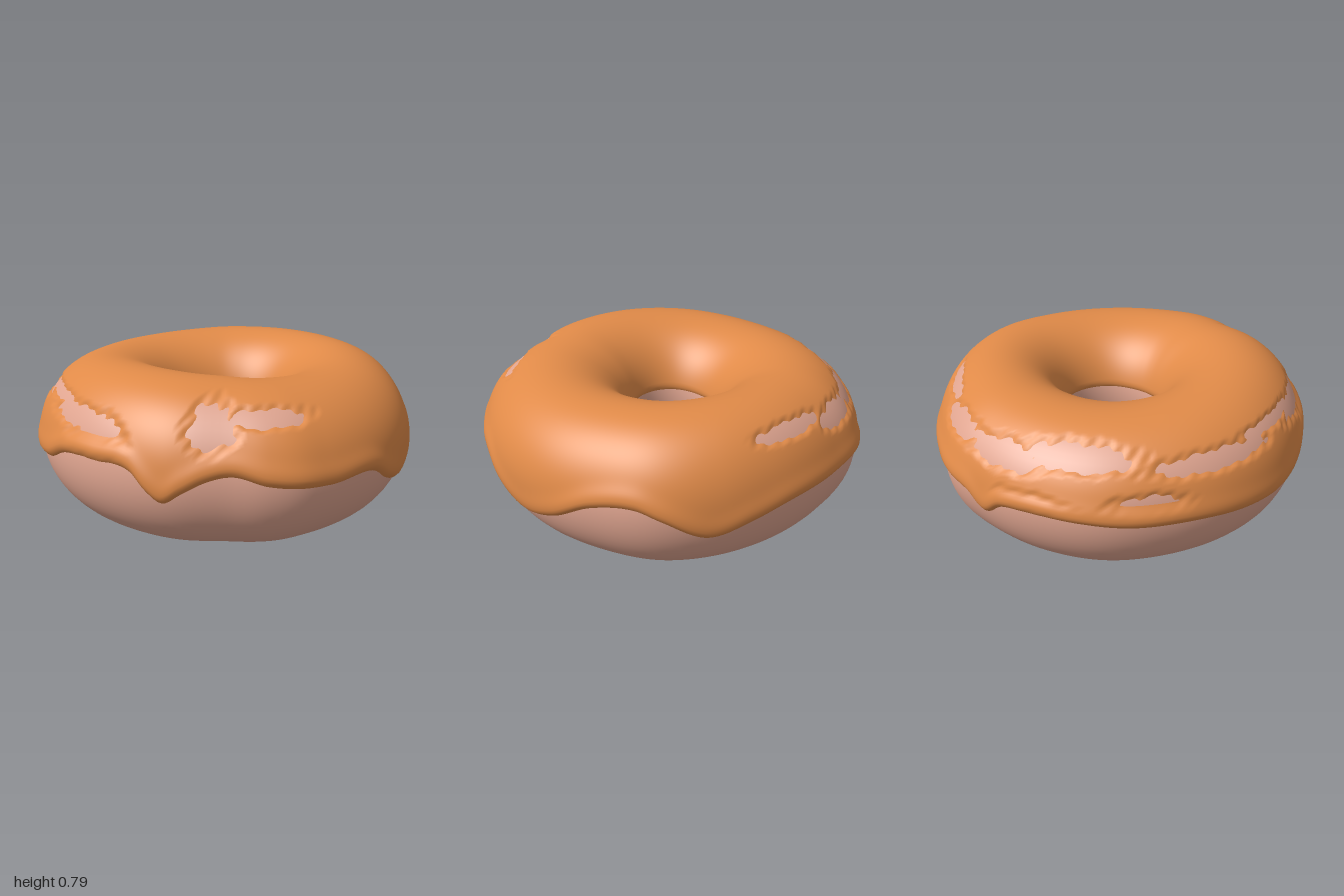
import * as THREE from 'three';

const RAD = Math.PI / 180;

// Smooth closed curve through [degrees, value] keys around the ring
function ringCurve(keys) {
  const all = [-360, 0, 360].flatMap((s) => keys.map(([d, v]) => [d + s, v]));
  const curve = new THREE.CubicInterpolant(all.map((k) => k[0]), all.map((k) => k[1]), 1);
  return (deg) => curve.evaluate(deg)[0];
}

// Outer radius of the uneven ring, 0 degrees is +x and 90 is +z
const outerRadius = ringCurve([
  [0, 1.0], [24, 1.005], [33, 1.013], [41, 1.0], [52, 0.97], [68, 0.982], [90, 0.975], [114, 0.975],
  [129, 0.98], [147, 0.978], [165, 0.982], [184, 1.0], [202, 1.0], [222, 1.002], [234, 1.012],
  [248, 0.99], [273, 0.985], [288, 0.998], [306, 1.012], [324, 0.994], [343, 0.996],
]);

// Height of the icing's dripping lower edge
const dripHeight = ringCurve([
  [0, 0.28], [8, 0.36], [24, 0.36], [41, 0.39], [50, 0.43], [58, 0.40], [64, 0.345], [69, 0.295],
  [73, 0.34], [78, 0.42], [90, 0.43], [104, 0.41], [114, 0.34], [127, 0.31], [142, 0.325], [157, 0.35],
  [175, 0.36], [190, 0.38], [207, 0.38], [213, 0.36], [219, 0.29], [225, 0.35], [232, 0.37], [250, 0.37],
  [268, 0.355], [280, 0.31], [292, 0.265], [304, 0.37], [311, 0.42], [323, 0.39], [336, 0.27], [348, 0.215],
]);

// Thin spots where the dough shows: [degrees, height, half width, half height]
const thinSpots = [
  [92, 0.54, 14, 0.12], [101, 0.6, 20, 0.06], [56, 0.63, 9, 0.12], [40, 0.66, 17, 0.045],
  [122, 0.64, 24, 0.03], [150, 0.6, 26, 0.05], [172, 0.47, 14, 0.06], [192, 0.64, 22, 0.06],
  [215, 0.6, 18, 0.07], [203, 0.45, 14, 0.05], [238, 0.62, 15, 0.06], [262, 0.66, 18, 0.04],
];

const MID = 0.375;

// Point on the dough's tube: t is 0 outside, 90 on top, 180 at the hole
function ringPoint(deg, t, offset) {
  const a = deg * RAD;
  const outer = outerRadius(deg) - 0.018;
  const inner = 0.247 + 0.01 * Math.cos(a) - 0.042 * Math.sin(a)
    - 0.015 * Math.cos(2 * a) - 0.012 * Math.sin(2 * a);
  const top = 0.752 + 0.01 * Math.sin(a) - 0.0175 * Math.cos(2 * a);
  const s = Math.sin(t * RAD);
  const r = (outer + inner) / 2 + ((outer - inner) / 2 + offset) * Math.cos(t * RAD);
  const y = MID + s * ((s > 0 ? top - MID : 0.385) + offset);
  return [r * Math.cos(a), Math.max(0, y), r * Math.sin(a)];
}

// Sheet of nA by nT cells, closed around the ring and optionally around the tube
function sheet(nA, nT, closeTube, pointAt) {
  const rows = closeTube ? nT : nT + 1;
  const pos = [], index = [];
  for (let i = 0; i < nA; i++)
    for (let j = 0; j < rows; j++) pos.push(...pointAt((i / nA) * 360, j / nT));
  for (let i = 0; i < nA; i++)
    for (let j = 0; j < nT; j++) {
      const i2 = (i + 1) % nA, j2 = (j + 1) % rows;
      const a = i * rows + j, b = i * rows + j2, c = i2 * rows + j, d = i2 * rows + j2;
      index.push(a, b, c, c, b, d);
    }
  const geo = new THREE.BufferGeometry();
  geo.setAttribute('position', new THREE.Float32BufferAttribute(pos, 3));
  geo.setIndex(index);
  geo.computeVertexNormals();
  return geo;
}

// How strongly the icing is worn at a place, with ragged borders
function wear(deg, y) {
  const ragged = 0.3 * Math.sin(deg * 0.9 + y * 23) * Math.sin(y * 70 + deg * 0.35);
  let most = 0;
  for (const [d, h, w, v] of thinSpots) {
    const dx = (((deg - d + 540) % 360) - 180) / w, dy = (y - h) / v;
    most = Math.max(most, Math.min(1, 1.4 * (1 - dx * dx - dy * dy) + ragged));
  }
  return most;
}

function icingPoint(deg, u) {
  // The sheet runs from the drip edge over the top and into the hole
  const start = Math.asin((dripHeight(deg) - MID) / 0.385) / RAD;
  const t = start + (172 - start) * u;
  const lip = Math.exp(-(((u - 0.05) / 0.045) ** 2));
  const tuck = Math.min(1, u / 0.03, (1 - u) / 0.03);
  const y = ringPoint(deg, t, 0)[1];
  const worn = t < 90 ? wear(deg, y) : 0;
  const thickness = 0.011 + 0.012 * lip - 0.017 * worn * (1 - lip);
  return ringPoint(deg, t, -0.012 + (thickness + 0.012) * Math.sqrt(Math.max(0, tuck)));
}

export function createModel() {
  const group = new THREE.Group();
  group.name = 'doughnut';

  const dough = new THREE.Mesh(
    sheet(160, 64, true, (deg, u) => ringPoint(deg, u * 360, 0)),
    new THREE.MeshStandardMaterial({ color: 0xe0a590 }),
  );
  dough.name = 'dough';

  const icing = new THREE.Mesh(
    sheet(360, 90, false, icingPoint),
    new THREE.MeshStandardMaterial({ color: 0xe08a48 }),
  );
  icing.name = 'icing';

  group.add(dough, icing);
  return group;
}
